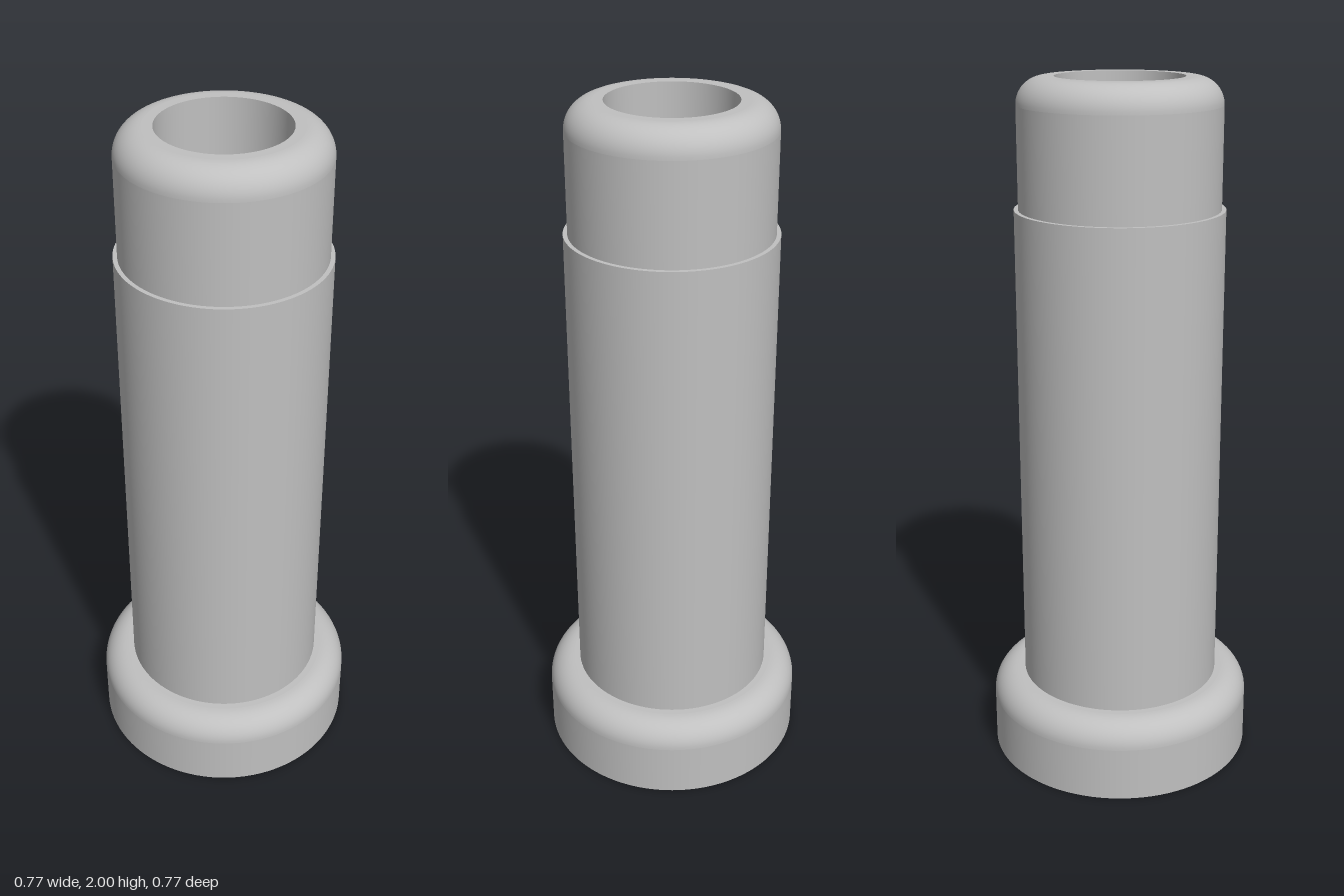
import * as THREE from 'three';

const SEGMENTS = 96;
const BORE = 0.177;       // through-hole radius
const FLANGE = 0.387;     // base flange radius
const SHANK = 0.293;      // main body radius
const TIP = 0.281;        // reduced upper end radius
const FLANGE_TOP = 0.235;
const SHANK_TOP = 1.645;
const TOP = 2;
const FILLET = 0.075;

// Quarter-round from a vertical wall of radius r to a flat top at height y
function fillet(r, y) {
  const points = [];
  for (let i = 0; i <= 14; i++) {
    const a = (i / 14) * Math.PI / 2;
    points.push([r - FILLET + FILLET * Math.cos(a), y - FILLET + FILLET * Math.sin(a)]);
  }
  return points;
}

export function createModel() {
  const model = new THREE.Group();
  model.name = 'flangedSleeve';
  const steel = new THREE.MeshStandardMaterial({ color: 0xc0c0c0 });
  steel.name = 'plain grey metal';

  // Each profile is one smooth run, so edges between runs stay sharp
  function part(name, profiles) {
    const group = new THREE.Group();
    group.name = name;
    profiles.forEach(([label, points]) => {
      const curve = points.map(([r, y]) => new THREE.Vector2(r, y));
      const mesh = new THREE.Mesh(new THREE.LatheGeometry(curve, SEGMENTS), steel);
      mesh.name = label;
      group.add(mesh);
    });
    model.add(group);
  }

  // Base flange with a rounded upper rim
  part('baseFlange', [
    ['flangeUnderside', [[BORE, 0], [FLANGE, 0]]],
    ['flangeWall', [[FLANGE, 0], [FLANGE, FLANGE_TOP - FILLET]]],
    ['flangeFillet', fillet(FLANGE, FLANGE_TOP)],
    ['flangeTop', [[FLANGE - FILLET, FLANGE_TOP], [SHANK, FLANGE_TOP]]],
  ]);

  // Long straight body with a narrow shoulder at its upper end
  part('shank', [
    ['shankWall', [[SHANK, FLANGE_TOP], [SHANK, SHANK_TOP]]],
    ['shankShoulder', [[SHANK, SHANK_TOP], [TIP, SHANK_TOP]]],
  ]);

  // Slightly narrower end with a rounded rim
  part('upperEnd', [
    ['endWall', [[TIP, SHANK_TOP], [TIP, TOP - FILLET]]],
    ['endFillet', fillet(TIP, TOP)],
    ['endTop', [[TIP - FILLET, TOP], [BORE, TOP]]],
  ]);

  // Straight hole through the full length
  part('bore', [['boreWall', [[BORE, TOP], [BORE, 0]]]]);

  return model;
}
